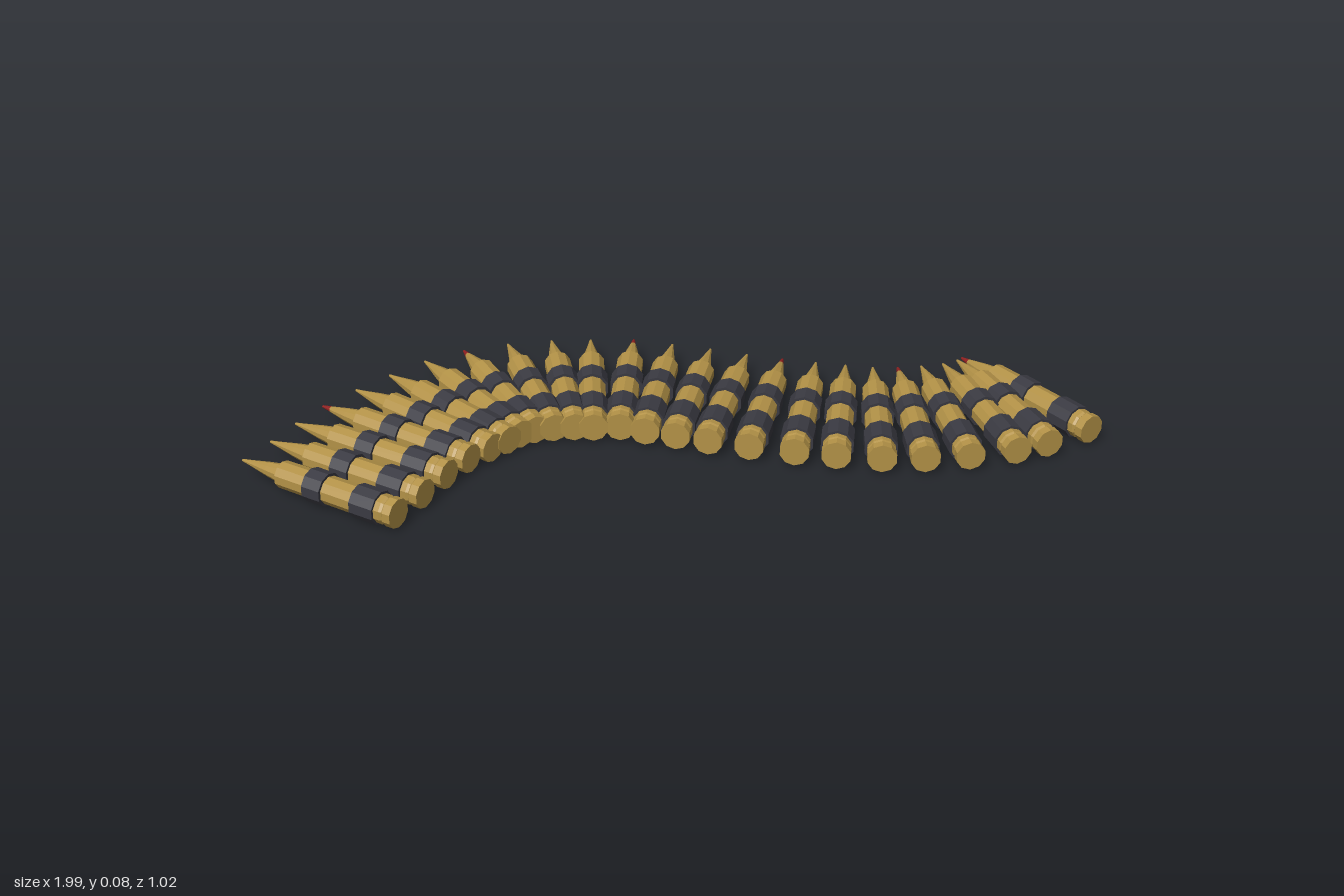
import * as THREE from 'three';

const SIDES = 10;
const LENGTH = 0.467;
const AXIS_Y = 0.044;

// Tip x, tip z and turn in degrees of each cartridge along the curved belt
const LAYOUT = [
  [-0.995, -0.19, 35], [-0.91, -0.25, 35], [-0.83, -0.313, 35], [-0.743, -0.372, 33],
  [-0.642, -0.42, 28], [-0.54, -0.463, 21], [-0.433, -0.5, 12], [-0.321, -0.516, 3],
  [-0.203, -0.505, -6], [-0.091, -0.478, -14], [0.005, -0.441, -21], [0.11, -0.398, -27],
  [0.193, -0.334, -32], [0.273, -0.27, -35], [0.348, -0.206, -37], [0.422, -0.147, -36],
  [0.492, -0.094, -33], [0.556, -0.051, -30], [0.615, -0.013, -25], [0.674, 0.013, -20],
  [0.733, 0.03, -14], [0.791, 0.04, -6.5], [0.835, 0.037, -1], [0.852, 0.03, 13],
];

// Faceted solid of revolution whose axis runs from the base towards -z
function lathe(profile) {
  const points = profile.map(([r, y]) => new THREE.Vector2(r, y));
  const geometry = new THREE.LatheGeometry(points, SIDES).toNonIndexed();
  geometry.rotateX(-Math.PI / 2);
  geometry.computeVertexNormals();
  return geometry;
}

// Closed ring around the casing
function band(start, end) {
  return lathe([[0.033, start], [0.042, start], [0.042, end], [0.033, end]]);
}

export function createModel() {
  const brass = new THREE.MeshStandardMaterial({ color: 0xb39247 });
  brass.name = 'brass';
  const steel = new THREE.MeshStandardMaterial({ color: 0x3a3a42 });
  steel.name = 'dark steel';
  const red = new THREE.MeshStandardMaterial({ color: 0x8f2020 });
  red.name = 'red tip paint';

  const casing = lathe([
    [0, 0], [0.037, 0], [0.037, 0.022], [0.033, 0.026], [0.036, 0.033],
    [0.034, 0.342], [0.022, 0.342],
  ]);
  const slug = lathe([[0.025, 0.34], [0.018, 0.385], [0.0075, 0.44]]);
  const tip = lathe([[0.0075, 0.44], [0.003, LENGTH], [0, LENGTH]]);
  const rearBand = band(0.048, 0.115);
  const frontBand = band(0.203, 0.255);

  const model = new THREE.Group();
  model.name = 'cartridgeBelt';

  LAYOUT.forEach(([x, z, degrees], i) => {
    const angle = THREE.MathUtils.degToRad(degrees);
    const cartridge = new THREE.Group();
    cartridge.name = `cartridge${i + 1}`;
    const add = (name, geometry, material) => {
      const mesh = new THREE.Mesh(geometry, material);
      mesh.name = name;
      cartridge.add(mesh);
    };
    add('casing', casing, brass);
    add('slug', slug, brass);
    // Every fourth round has a painted tip
    add('tip', tip, i % 4 === 3 ? red : brass);
    add('rearLinkBand', rearBand, steel);
    add('frontLinkBand', frontBand, steel);
    cartridge.position.set(x + LENGTH * Math.sin(angle), AXIS_Y, z + LENGTH * Math.cos(angle));
    cartridge.rotation.y = angle;
    model.add(cartridge);
  });

  return model;
}
